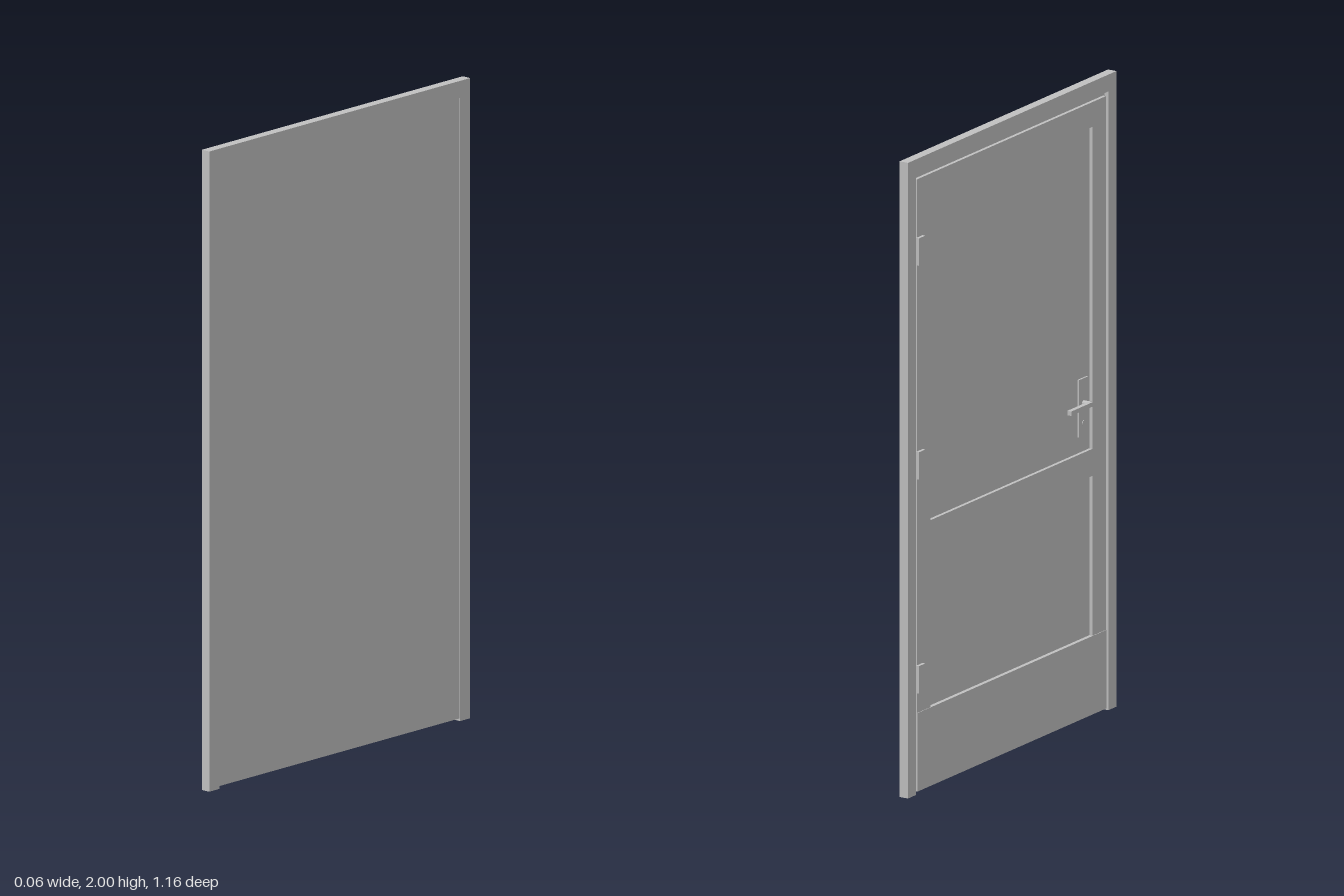
import * as THREE from 'three';

export function createModel() {
  const model = new THREE.Group();
  model.name = 'door';
  const grey = new THREE.MeshStandardMaterial({ color: 0xc0c0c0 });
  grey.name = 'grey';

  const add = (name, geometry, parent = model) => {
    const mesh = new THREE.Mesh(geometry, grey);
    mesh.name = name;
    parent.add(mesh);
    return mesh;
  };

  // Box given by its lower and upper corners
  const block = (name, x0, x1, y0, y1, z0, z1, parent) => {
    const mesh = add(name, new THREE.BoxGeometry(x1 - x0, y1 - y0, z1 - z0), parent);
    mesh.position.set((x0 + x1) / 2, (y0 + y1) / 2, (z0 + z1) / 2);
    return mesh;
  };

  const rect = (T, z0, z1, y0, y1) =>
    new T([[z0, y0], [z1, y0], [z1, y1], [z0, y1]].map(p => new THREE.Vector2(...p)));

  // Outline drawn in (z, y), extruded along x from x0 to x1 (outlines are symmetric in z)
  const slab = (name, shape, x0, x1) => {
    const g = new THREE.ExtrudeGeometry(shape, { depth: x1 - x0, bevelEnabled: false });
    g.rotateY(Math.PI / 2);
    g.translate(x0, 0, 0);
    return add(name, g);
  };

  // Frame: two posts and a lintel, open at the floor
  const frame = new THREE.Shape([
    [-0.58, 0], [-0.535, 0], [-0.535, 1.947], [0.535, 1.947],
    [0.535, 0], [0.58, 0], [0.58, 2], [-0.58, 2],
  ].map(p => new THREE.Vector2(...p)));
  slab('frame', frame, 0.002, 0.0325);

  // Leaf face with two sunken panels
  const face = rect(THREE.Shape, -0.526, 0.526, 0.008, 1.934);
  face.holes.push(
    rect(THREE.Path, -0.45, 0.45, 0.255, 0.758),
    rect(THREE.Path, -0.45, 0.45, 0.843, 1.856),
  );
  slab('leafFace', face, 0.005, 0.016);

  // Wider rear half of the leaf, just shy of the frame's rear face
  block('leafBack', 0.016, 0.0305, 0.008, 1.947, -0.535, 0.535);

  // Kick plate along the bottom
  block('kickPlate', 0.003, 0.005, 0.008, 0.255, -0.526, 0.526);

  // Three hinges
  for (const y of [0.362, 1.035, 1.708]) {
    block('hinge', -0.005, 0.006, y - 0.043, y + 0.043, -0.53, -0.494);
  }

  // Handle: plate, lock cylinder, neck and lever
  const handle = new THREE.Group();
  handle.name = 'handle';
  model.add(handle);
  block('handlePlate', 0, 0.006, 0.9, 1.08, 0.368, 0.42, handle);
  const round = (name, r, x0, x1, y, z) => {
    const mesh = add(name, new THREE.CylinderGeometry(r, r, x1 - x0, 20), handle);
    mesh.rotation.z = Math.PI / 2;
    mesh.position.set((x0 + x1) / 2, y, z);
  };
  round('lockCylinder', 0.009, -0.002, 0.003, 0.94, 0.394);
  round('handleNeck', 0.008, -0.026, 0.003, 1.003, 0.393);
  block('lever', -0.0325, -0.018, 0.996, 1.01, 0.275, 0.395, handle);

  return model;
}
